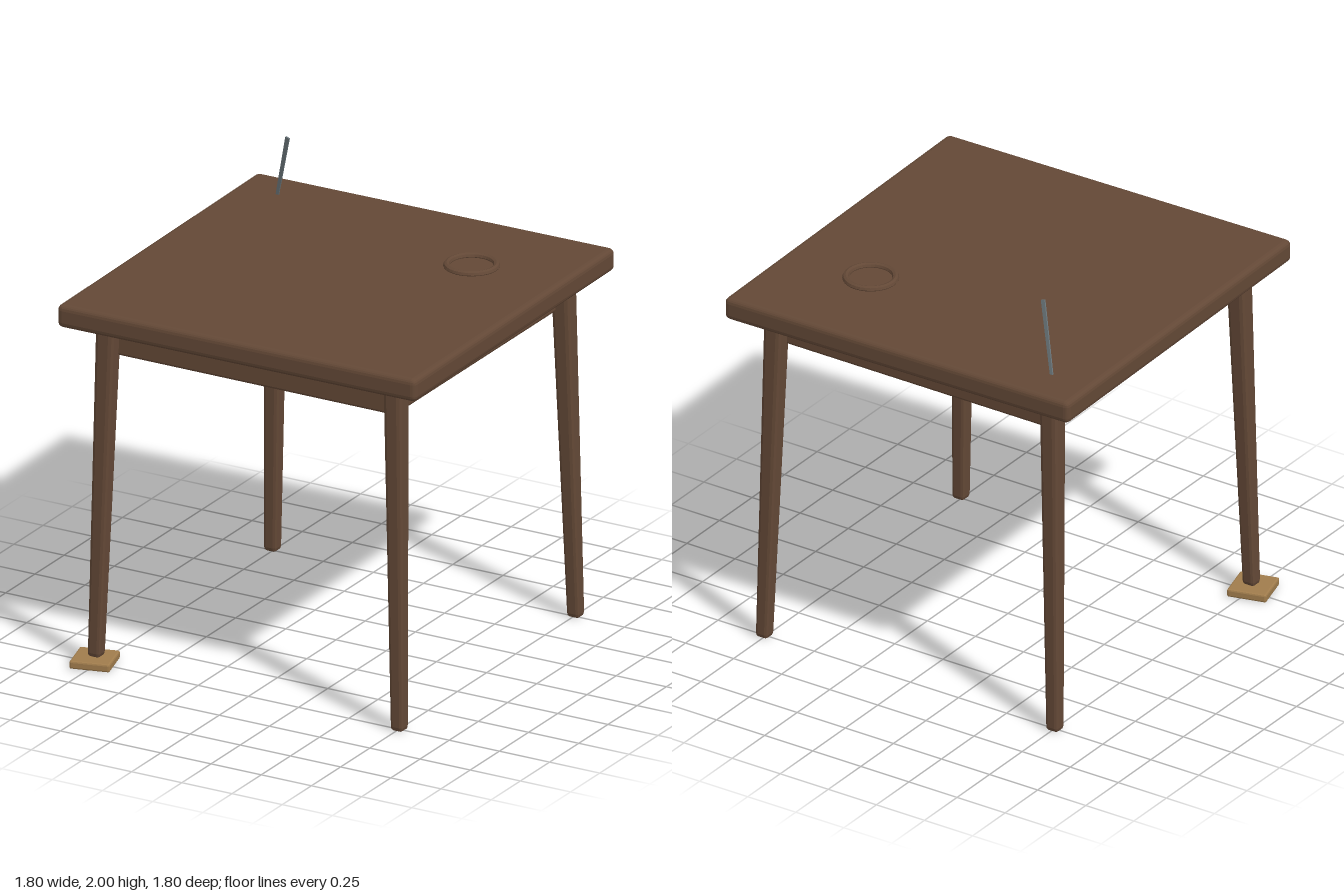
import * as THREE from 'three';
import { RoundedBoxGeometry } from 'three/addons/geometries/RoundedBoxGeometry.js';

function material(name, color) {
  const m = new THREE.MeshStandardMaterial({ color, flatShading: true });
  m.name = name;
  return m;
}

export function createModel() {
  const wood = material('darkWood', 0x634836);
  const paleWood = material('paleWood', 0xa07c4c);
  const steel = material('steel', 0x6c777c);
  const group = new THREE.Group();
  group.name = 'table';

  const add = (name, geometry, mat, x, y, z) => {
    const mesh = new THREE.Mesh(geometry, mat);
    mesh.name = name;
    mesh.position.set(x, y, z);
    group.add(mesh);
    return mesh;
  };

  // Slightly skewed slab with softened edges
  const top = add('tableTop', new RoundedBoxGeometry(1.77, 0.105, 1.77, 2, 0.025), wood, 0, 1.64, 0);
  top.rotation.set(-0.003, 0.0165, -0.002);

  // Solid block under the slab, visible as the apron
  add('apron', new RoundedBoxGeometry(1.4, 0.145, 1.4, 1, 0.012), wood, 0, 1.5025, 0);

  // Tapered, splayed legs with bevelled edges; the propped one is shorter
  const topY = 1.578;
  const leg = (name, sx, sz, bottomY) => {
    const h = topY - bottomY;
    const geo = new RoundedBoxGeometry(0.09, h, 0.09, 1, 0.02);
    const p = geo.attributes.position;
    for (let i = 0; i < p.count; i++) {
      const t = p.getY(i) / h + 0.5;
      const s = THREE.MathUtils.lerp(0.68, 1, t);
      const c = THREE.MathUtils.lerp(0.755, 0.716, t);
      p.setXYZ(i, p.getX(i) * s + sx * c, p.getY(i), p.getZ(i) * s + sz * c);
    }
    geo.computeVertexNormals();
    add(name, geo, wood, 0, bottomY + h / 2, 0);
  };
  leg('frontLeftLeg', 1, 1, 0.003);
  leg('frontRightLeg', -1, 1, 0.04);
  leg('backLeftLeg', 1, -1, 0.003);
  leg('backRightLeg', -1, -1, 0.003);

  // Wooden shim under the short leg
  const shim = add('shim', new RoundedBoxGeometry(0.18, 0.037, 0.18, 1, 0.008), paleWood, -0.76, 0.0225, 0.76);
  shim.rotation.y = 0.26;

  // Raised cup ring
  const ring = add('cupRing', new THREE.TorusGeometry(0.108, 0.015, 8, 32), wood, 0.443, 1.694, -0.4);
  ring.rotation.x = Math.PI / 2;

  // Thin blade stuck in the slab, narrowing towards its tip
  const from = new THREE.Vector3(-0.696, 1.675, -0.69);
  const to = new THREE.Vector3(-0.6, 1.998, -0.617);
  const dir = to.clone().sub(from);
  const bladeGeo = new THREE.BoxGeometry(0.02, dir.length(), 0.007);
  const bp = bladeGeo.attributes.position;
  for (let i = 0; i < bp.count; i++) if (bp.getY(i) < 0) bp.setX(i, bp.getX(i) * 0.7);
  const mid = from.clone().lerp(to, 0.5);
  const blade = add('blade', bladeGeo, steel, mid.x, mid.y, mid.z);
  blade.quaternion.setFromUnitVectors(new THREE.Vector3(0, 1, 0), dir.normalize());

  return group;
}
